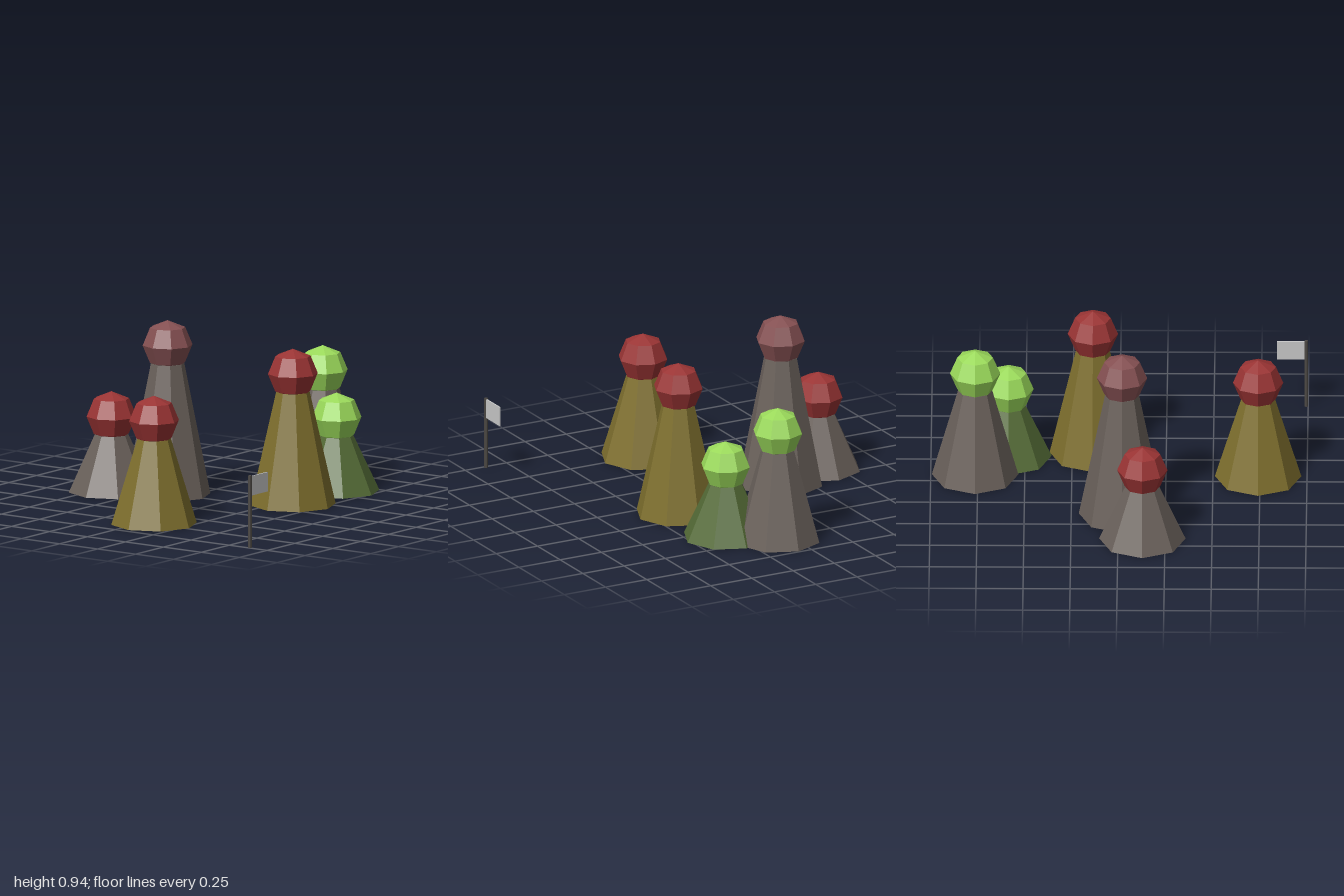
import * as THREE from 'three';

const mat = (name, color) => {
  const m = new THREE.MeshStandardMaterial({ color, flatShading: true });
  m.name = name;
  return m;
};

export function createModel() {
  const model = new THREE.Group();
  model.name = 'towerCluster';

  const grey = mat('stone grey', 0x6a615b);
  const olive = mat('olive yellow', 0x7f702e);
  const green = mat('moss green', 0x546b36);
  const red = mat('dark red', 0x9a3434);
  const mauve = mat('dusty mauve', 0x855052);
  const lime = mat('lime green', 0x9ad95a);
  const poleMat = mat('pole grey', 0x4c4844);
  const flagMat = mat('flag grey', 0xc8c8c8);

  const add = (parent, name, geometry, material, x, y, z) => {
    const mesh = new THREE.Mesh(geometry, material);
    mesh.name = name;
    mesh.position.set(x, y, z);
    parent.add(mesh);
  };

  // Tapered eight-sided towers, each with a faceted ball on top
  const towers = [
    // x, z, body height, body, ball
    [-0.74, 0.065, 0.46, olive, red],
    [0.14, 0.335, 0.61, olive, red],
    [-0.02, -0.373, 0.71, grey, mauve],
    [-0.13, -0.662, 0.31, grey, red],
    [0.588, 0.295, 0.3, green, lime],
    [0.764, 0.075, 0.505, grey, lime],
  ];
  const ball = new THREE.SphereGeometry(0.134, 8, 4);
  for (const [x, z, h, bodyMat, ballMat] of towers) {
    const tower = new THREE.Group();
    tower.name = 'tower';
    tower.position.set(x, 0, z);
    add(tower, 'towerBody', new THREE.CylinderGeometry(0.09, 0.23, h, 8), bodyMat, 0, h / 2, 0);
    add(tower, 'towerBall', ball, ballMat, 0, h + 0.098, 0);
    model.add(tower);
  }

  // Flag on a thin pole
  const flag = new THREE.Group();
  flag.name = 'flag';
  flag.position.set(-0.99, 0, 0.88);
  add(flag, 'flagPole', new THREE.CylinderGeometry(0.01, 0.01, 0.39, 8), poleMat, 0, 0.195, 0);
  add(flag, 'flagCloth', new THREE.BoxGeometry(0.15, 0.105, 0.008), flagMat, 0.08, 0.333, 0);
  model.add(flag);

  return model;
}
